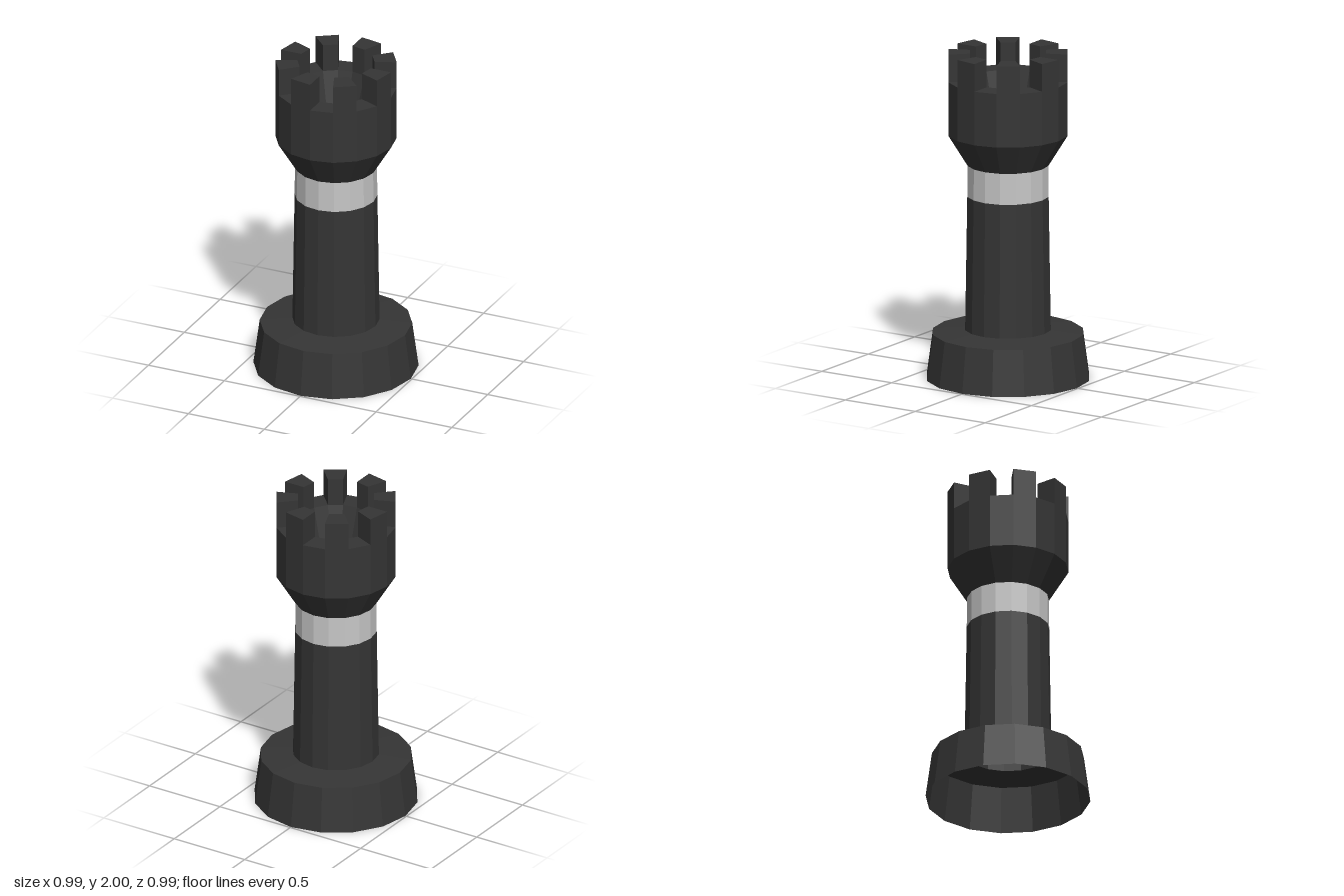
import * as THREE from 'three';

const SIDES = 16;
const STEP = (Math.PI * 2) / SIDES;

export function createModel() {
  const model = new THREE.Group();
  model.name = 'rookTower';

  const dark = new THREE.MeshStandardMaterial({ color: 0x353535, flatShading: true, side: THREE.DoubleSide });
  dark.name = 'charcoal';
  const light = new THREE.MeshStandardMaterial({ color: 0xc6c6c6, flatShading: true, side: THREE.DoubleSide });
  light.name = 'lightGrey';

  const add = (name, geometry, material, parent = model) => {
    const mesh = new THREE.Mesh(geometry, material);
    mesh.name = name;
    parent.add(mesh);
    return mesh;
  };

  // Sixteen-sided shell from [radius, height] pairs
  const turned = (name, profile, material) =>
    add(name, new THREE.LatheGeometry(profile.map(([r, y]) => new THREE.Vector2(r, y)), SIDES), material);

  // Hollow foot, open underneath, with a slightly sloped top
  turned('base', [[0.493, 0], [0.455, 0.28], [0.26, 0.3]], dark);
  turned('shaft', [[0.26, 0.3], [0.247, 1.12]], dark);
  turned('collarBand', [[0.247, 1.12], [0.245, 1.31]], light);

  // Flared head, parapet ledge and the tapered well inside it
  turned('head', [[0.245, 1.31], [0.362, 1.5], [0.362, 1.83], [0.23, 1.83]], dark);
  turned('well', [[0.23, 1.83], [0.157, 1.58], [0, 1.58]], dark);

  // Eight battlements on every second side
  const battlements = new THREE.Group();
  battlements.name = 'battlements';
  model.add(battlements);
  const corner = (r, a) => new THREE.Vector2(r * Math.sin(a), -r * Math.cos(a));
  for (let i = 1; i < SIDES; i += 2) {
    const a = i * STEP, b = a + STEP;
    const shape = new THREE.Shape([corner(0.23, a), corner(0.362, a), corner(0.362, b), corner(0.23, b)]);
    const block = new THREE.ExtrudeGeometry(shape, { depth: 0.17, bevelEnabled: false });
    block.rotateX(-Math.PI / 2).translate(0, 1.83, 0);
    add('battlement', block, dark, battlements);
  }

  return model;
}
